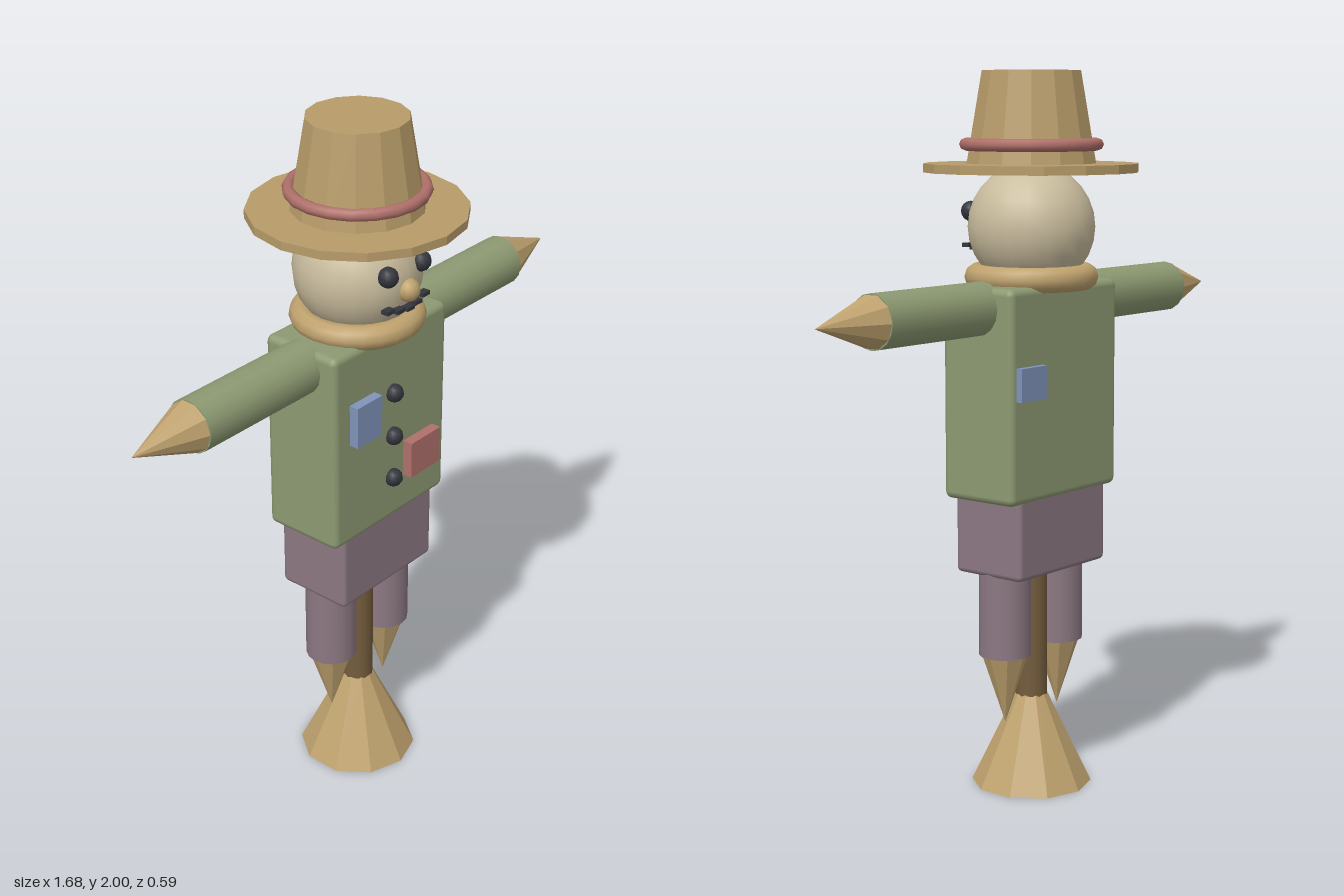
import * as THREE from 'three';
import { RoundedBoxGeometry } from 'three/addons/geometries/RoundedBoxGeometry.js';
import { toCreasedNormals } from 'three/addons/utils/BufferGeometryUtils.js';

const material = (name, color) => {
  const m = new THREE.MeshStandardMaterial({ color });
  m.name = name;
  return m;
};

export function createModel() {
  const straw = material('straw', 0xbfa26e);
  const hatFelt = material('hat felt', 0xb89c6a);
  const sack = material('sackcloth', 0xcabd9e);
  const shirt = material('shirt green', 0x8d9a72);
  const trousers = material('trouser mauve', 0x8c7882);
  const blue = material('blue patch', 0x8093ba);
  const red = material('faded red', 0xb0706a);
  const wood = material('wood', 0x735c3c);
  const dark = material('charcoal', 0x34363d);

  const model = new THREE.Group();
  model.name = 'scarecrow';

  const add = (name, geometry, mat, x = 0, y = 0, z = 0) => {
    const mesh = new THREE.Mesh(geometry, mat);
    mesh.name = name;
    mesh.position.set(x, y, z);
    model.add(mesh);
    return mesh;
  };
  // Faceted cylinder or cone with crisp edges
  const faceted = (top, bottom, height, sides) =>
    toCreasedNormals(new THREE.CylinderGeometry(top, bottom, height, sides), 0.2);
  const smooth = (radius, height) => new THREE.CylinderGeometry(radius, radius, height, 16);
  const box = (w, h, d) => new THREE.BoxGeometry(w, h, d);

  // Stand
  add('strawBase', faceted(0.045, 0.17, 0.26, 10), straw, 0, 0.13);
  add('post', smooth(0.045, 1.4), wood, 0, 0.7);

  // Body
  add('torso', new RoundedBoxGeometry(0.47, 0.585, 0.244, 2, 0.02), shirt, 0, 1.137);
  add('hips', new RoundedBoxGeometry(0.385, 0.24, 0.23, 2, 0.015), trousers, 0, 0.75);

  // Mirrored limbs
  for (const [side, s] of [['left', 1], ['right', -1]]) {
    add(side + 'Sleeve', smooth(0.073, 0.43), shirt, s * 0.425, 1.372).rotation.z = -s * Math.PI / 2;
    add(side + 'Hand', faceted(0, 0.071, 0.2, 10), straw, s * 0.74, 1.372).rotation.z = -s * Math.PI / 2;
    add(side + 'Leg', smooth(0.073, 0.25), trousers, s * 0.117, 0.522);
    add(side + 'Foot', faceted(0.066, 0, 0.2, 8), straw, s * 0.117, 0.3);
    add(side + 'Eye', new THREE.SphereGeometry(0.028, 12, 8), dark, s * 0.067, 1.62, 0.16);
  }

  // Buttons and patches
  for (const y of [1.245, 1.112, 0.98]) {
    add('button', new THREE.SphereGeometry(0.026, 12, 8), dark, 0, y, 0.13);
  }
  add('chestPatch', box(0.1, 0.12, 0.03), blue, -0.125, 1.216, 0.135);
  add('bellyPatch', box(0.125, 0.108, 0.03), red, 0.112, 1.018, 0.138);
  add('backPatch', box(0.11, 0.09, 0.025), blue, 0.16, 1.175, -0.128);

  // Head and face
  add('head', new THREE.SphereGeometry(0.175, 20, 14), sack, 0, 1.58);
  add('nose', new THREE.SphereGeometry(0.032, 12, 8), straw, 0, 1.565, 0.173);
  for (let i = -2; i <= 2; i++) {
    add('mouthStitch', box(0.03, 0.011, 0.022), dark, i * 0.036, 1.515 + 0.003 * i * i, 0.173 - 0.004 * Math.abs(i));
  }

  // Straw collar
  add('collar', new THREE.TorusGeometry(0.15, 0.035, 10, 24), straw, 0, 1.445).rotation.x = Math.PI / 2;

  // Hat
  add('hatBrim', faceted(0.295, 0.295, 0.024, 16), hatFelt, 0, 1.74);
  add('hatCrown', faceted(0.137, 0.18, 0.25, 14), hatFelt, 0, 1.875);
  add('hatBand', new THREE.TorusGeometry(0.18, 0.017, 8, 20), red, 0, 1.803).rotation.x = Math.PI / 2;

  return model;
}
